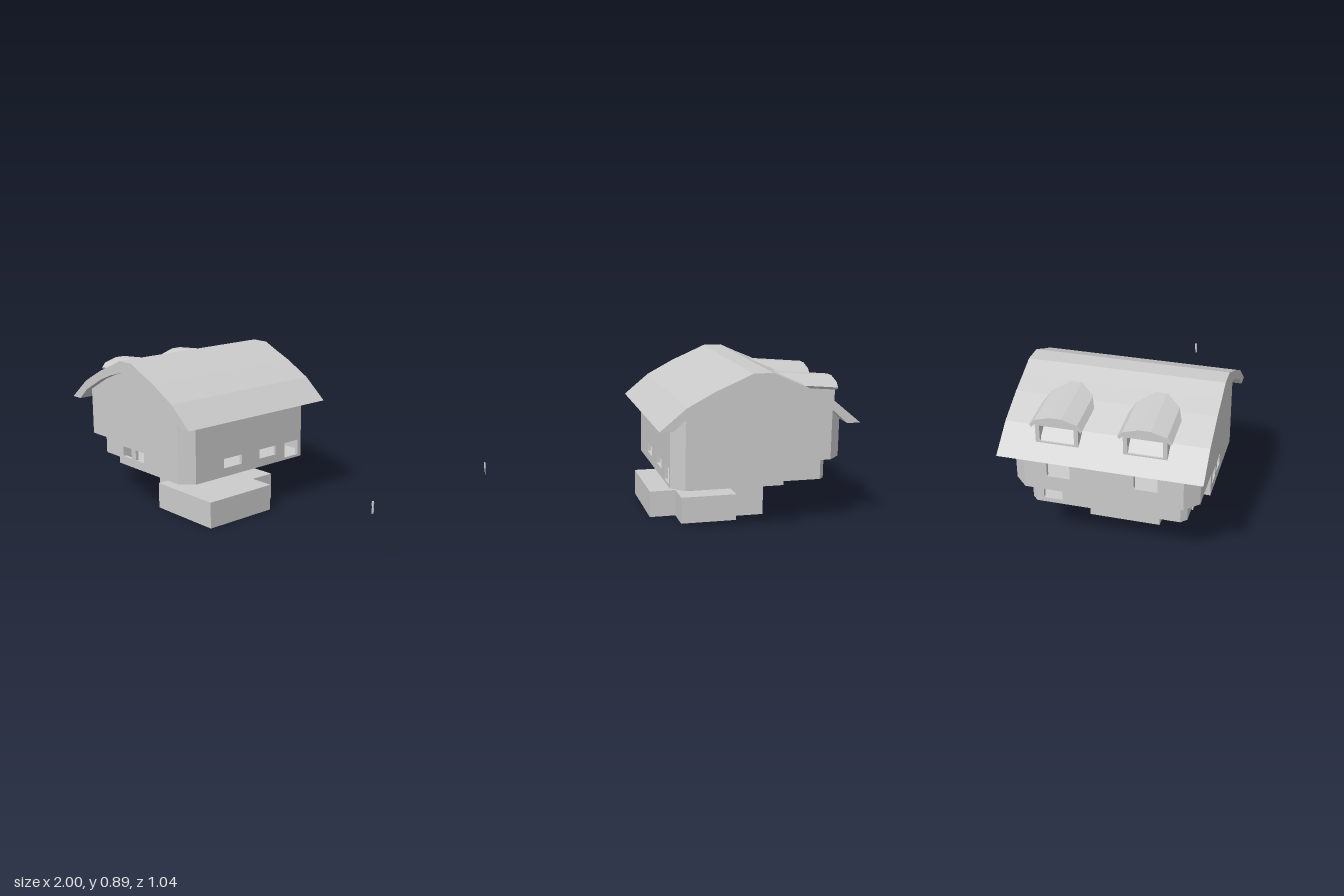
import * as THREE from 'three';

const T = 0.02; // wall thickness
const material = new THREE.MeshStandardMaterial({ color: 0xcccccc, flatShading: true, side: THREE.DoubleSide });

function rectHole([x0, x1, y0, y1]) {
  return new THREE.Path([[x0, y0], [x1, y0], [x1, y1], [x0, y1]].map((p) => new THREE.Vector2(...p)));
}

function slab(points, depth, holes = []) {
  const shape = new THREE.Shape(points.map((p) => new THREE.Vector2(...p)));
  shape.holes = holes.map(rectHole);
  return new THREE.ExtrudeGeometry(shape, { depth, bevelEnabled: false });
}

export function createModel() {
  const model = new THREE.Group();

  function add(name, geometry, x = 0, y = 0, z = 0, parent = model) {
    const mesh = new THREE.Mesh(geometry, material);
    mesh.name = name;
    mesh.position.set(x, y, z);
    parent.add(mesh);
    return mesh;
  }

  // Horizontal plate or block from plan points [x, z]
  function plan(name, points, y0, y1, holes = []) {
    const flipped = holes.map(([x0, x1, z0, z1]) => [x0, x1, -z1, -z0]);
    const g = slab(points.map(([x, z]) => [x, -z]), y1 - y0, flipped).rotateX(-Math.PI / 2);
    return add(name, g, 0, y0, 0);
  }

  // Upright wall from plan point a to b, thickened inwards; holes are [u0, u1, y0, y1]
  function wall(name, a, b, y0, topA, topB, holes = []) {
    const dx = b[0] - a[0], dz = b[1] - a[1], length = Math.hypot(dx, dz);
    const g = slab([[0, y0], [length, y0], [length, topB], [0, topA]], T, holes).translate(0, 0, -T);
    g.rotateY(Math.atan2(-dz, dx));
    return add(name, g, a[0], 0, a[1]);
  }

  // Curved main roof, mirrored about its ridge
  const ridgeX = -0.445;
  const mirrored = (half) => [
    ...half.map(([d, y]) => [ridgeX + d, y]),
    ...half.slice().reverse().map(([d, y]) => [ridgeX - d, y]),
  ];
  const outer = [[0.555, 0.6], [0.41, 0.72], [0.25, 0.805], [0.15, 0.847], [0.055, 0.89]];
  const inner = [[0.48, 0.6], [0.405, 0.667], [0.25, 0.752], [0.15, 0.792], [0.055, 0.82]];
  add('roof', slab([...mirrored(outer), ...mirrored(inner).reverse()], 1.04), 0, 0, -0.52);

  // Gable walls with a low notch at the side overhang
  const gable = [[-0.59, 0.26], [-0.04, 0.26], ...mirrored(inner.slice(1)), [-0.855, 0.39], [-0.59, 0.39]];
  gable[2] = [-0.04, 0.667];
  gable[gable.length - 3] = [-0.855, 0.667];
  add('frontGable', slab(gable, T, [[-0.55, -0.47, 0.31, 0.37], [-0.43, -0.35, 0.31, 0.37]]), 0, 0, 0.48 - T);
  add('backGable', slab(gable, T), 0, 0, -0.48);

  // Long walls: windows measured from the front end of the left wall, back end of the right wall
  wall('leftWall', [0.03, 0.41], [0.03, -0.41], 0.26, 0.615, 0.615, [
    [0.205, 0.34, 0.31, 0.365], [0.48, 0.61, 0.31, 0.365], [0.685, 0.795, 0.275, 0.365],
  ]);
  wall('rightWall', [-0.925, -0.41], [-0.925, 0.41], 0.39, 0.615, 0.615, [
    [0.12, 0.24, 0.47, 0.57], [0.57, 0.69, 0.47, 0.57],
  ]);

  // Chamfered corners
  wall('frontLeftCorner', [-0.04, 0.48], [0.03, 0.41], 0.26, 0.667, 0.615);
  wall('backLeftCorner', [0.03, -0.41], [-0.04, -0.48], 0.26, 0.615, 0.667);
  wall('backRightCorner', [-0.855, -0.48], [-0.925, -0.41], 0.39, 0.667, 0.615);
  wall('frontRightCorner', [-0.925, 0.41], [-0.855, 0.48], 0.39, 0.615, 0.667);

  // Lower room set back beneath the overhang
  const room = [[-0.59, -0.48], [-0.59, -0.41], [-0.825, -0.41], [-0.855, -0.38],
    [-0.855, 0.38], [-0.825, 0.41], [-0.59, 0.41], [-0.59, 0.48]];
  for (let i = 0; i < room.length - 1; i++) {
    wall('lowerRoomWall', room[i], room[i + 1], 0.26, 0.39, 0.39, i === 3 ? [[0.04, 0.14, 0.285, 0.345]] : []);
  }

  // Floors
  plan('mainFloor', [...room, [-0.04, 0.48], [0.03, 0.41], [0.03, -0.41], [-0.04, -0.48]], 0.26, 0.275);
  plan('overhangFloor', [[-0.59, -0.48], [-0.855, -0.48], [-0.925, -0.41], [-0.925, 0.41], [-0.855, 0.48], [-0.59, 0.48]], 0.39, 0.405);

  // Stepped base and the stair tower that carries the house
  plan('base', [[-0.39, 0.35], [0.08, 0.35], [0.08, -0.11], [-0.07, -0.11], [-0.07, -0.26], [-0.39, -0.26]], 0, 0.153);
  plan('tower', [[-0.57, 0.203], [-0.39, 0.203], [-0.39, -0.19], [-0.57, -0.19]], 0, 0.26,
    [[-0.54, -0.46, -0.06, 0.06], [-0.49, -0.42, 0.14, 0.185]]);
  plan('towerBay', [[-0.39, 0.11], [-0.31, 0.11], [-0.31, -0.105], [-0.39, -0.105]], 0.15, 0.26);

  // Two arched dormers on the right slope
  const arch = [[-0.135, 0], [-0.11, 0.027], [-0.03, 0.05], [0.03, 0.05], [0.11, 0.027], [0.135, 0]];
  const archUnder = arch.map(([z, y]) => [z * 0.93, y - 0.014]).reverse();
  for (const z of [-0.228, 0.217]) {
    const dormer = new THREE.Group();
    dormer.name = 'dormer';
    dormer.position.z = z;
    model.add(dormer);

    // Roof shell rising gently into the main slope
    const shell = slab([...arch, ...archUnder], 0.35).rotateY(Math.PI / 2);
    const p = shell.attributes.position;
    for (let i = 0; i < p.count; i++) p.setY(i, p.getY(i) + p.getX(i) * 0.09);
    add('dormerRoof', shell, -0.93, 0.765, 0, dormer);

    // Window frame and cheeks
    const front = [[-0.11, 0.63], [0.11, 0.63], [0.11, 0.775], [0.03, 0.805], [-0.03, 0.805], [-0.11, 0.775]];
    add('dormerFrame', slab(front, T, [[-0.088, 0.088, 0.672, 0.76]]).rotateY(Math.PI / 2), -0.922, 0, 0, dormer);
    for (const side of [-1, 1]) {
      const cheek = slab([[-0.922, 0.64], [-0.72, 0.76], [-0.72, 0.79], [-0.922, 0.775]], T);
      add('dormerCheek', cheek, 0, 0, side * 0.1 - T / 2, dormer);
    }
  }

  // Small standing figure beside the house
  const figure = new THREE.Group();
  figure.name = 'figure';
  figure.position.set(0.994, 0.265, 0.058);
  model.add(figure);
  add('head', new THREE.SphereGeometry(0.005, 8, 6), 0, 0.064, 0, figure);
  add('torso', new THREE.CylinderGeometry(0.008, 0.006, 0.03, 8).scale(0.7, 1, 1), 0, 0.045, 0, figure);
  for (const side of [-1, 1]) {
    add('leg', new THREE.CylinderGeometry(0.0035, 0.0025, 0.032, 6), 0, 0.016, side * 0.004, figure);
  }

  return model;
}
